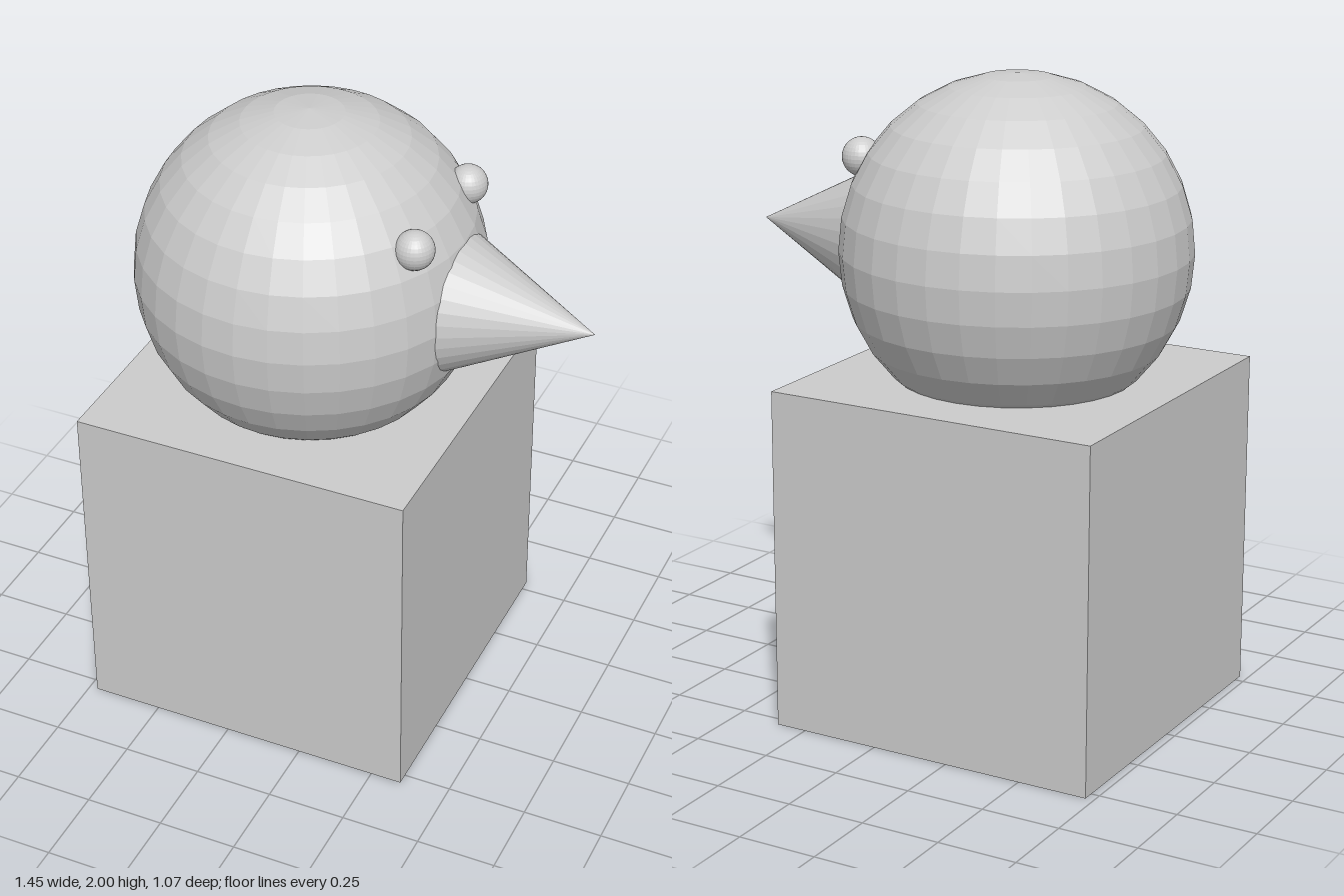
import * as THREE from 'three';

export function createModel() {
  const group = new THREE.Group();
  const grey = new THREE.MeshStandardMaterial({ color: 0xcccccc, flatShading: true });
  grey.name = 'plain grey';

  const add = (name, geometry, x, y, z) => {
    const mesh = new THREE.Mesh(geometry, grey);
    mesh.name = name;
    mesh.position.set(x, y, z);
    group.add(mesh);
    return mesh;
  };

  const size = 1.073; // cube side and head diameter
  const cx = -0.187; // shared centre of body and head

  // Cube body with the ball head sunk into its top
  add('body', new THREE.BoxGeometry(size, size, size), cx, size / 2, 0);
  add('head', new THREE.SphereGeometry(size / 2, 32, 16), cx, 2 - size / 2, 0);

  // Cone beak pointing along +x, its base hidden in the head
  const beakLength = 0.537;
  const beak = add('beak', new THREE.ConeGeometry(beakLength / 2, beakLength, 32),
    0.722 - beakLength / 2, 1.458, 0);
  beak.rotation.z = -Math.PI / 2;

  // Bead eyes, one on each side of the beak
  for (const side of [-1, 1]) {
    add(side > 0 ? 'frontEye' : 'backEye', new THREE.SphereGeometry(0.06, 32, 16),
      0.234, 1.739, side * 0.2);
  }
  return group;
}
